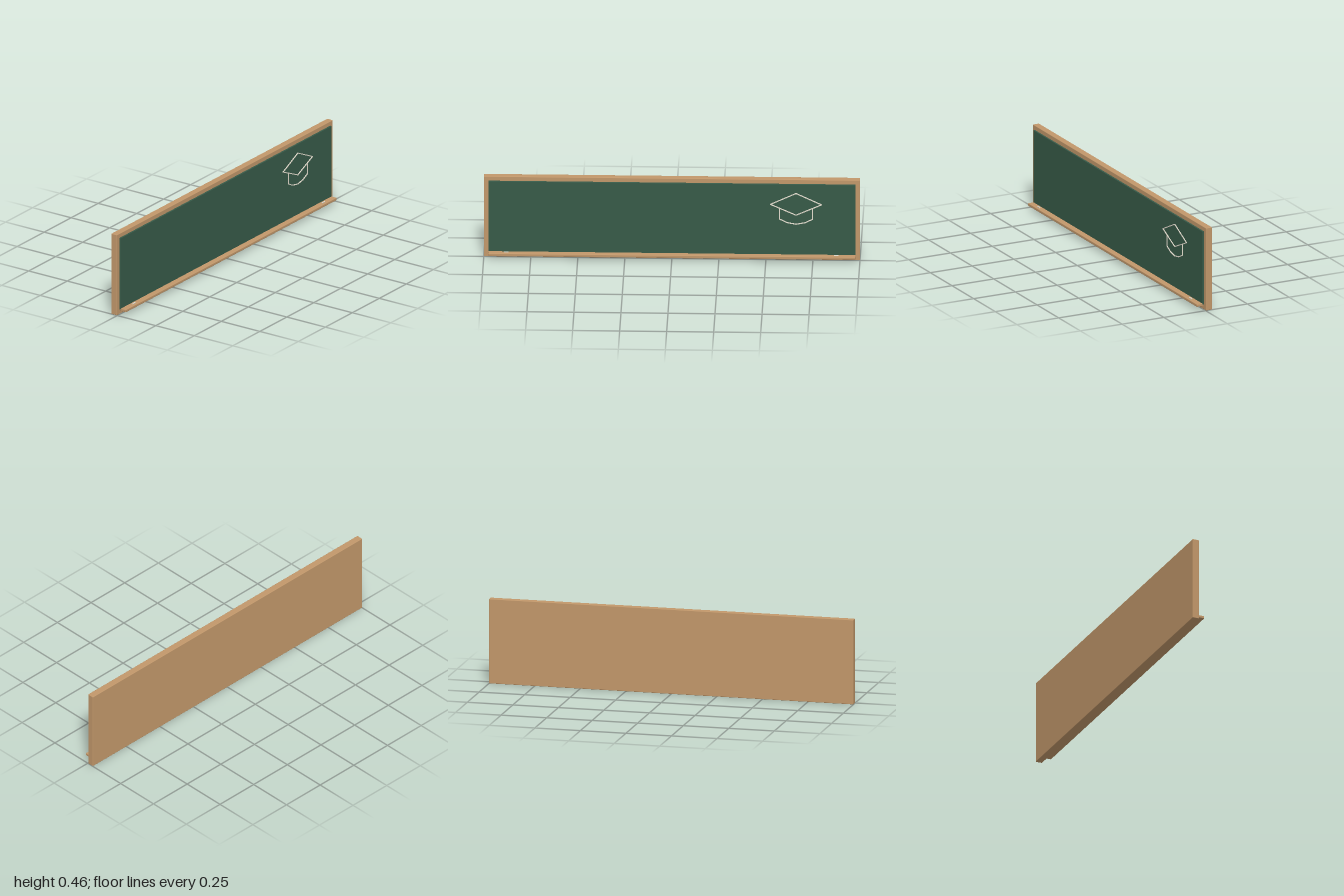
import * as THREE from 'three';
import { RoundedBoxGeometry } from 'three/addons/geometries/RoundedBoxGeometry.js';

const material = (name, color) => {
  const m = new THREE.MeshStandardMaterial({ color });
  m.name = name;
  return m;
};

export function createModel() {
  const wood = material('wood', 0xc1976a);
  const slate = material('slate green', 0x375a48);
  const chalkWhite = material('chalk white', 0xe2dccd);

  const model = new THREE.Group();
  model.name = 'chalkboard';

  const add = (name, geometry, mat, x, y, z, parent = model) => {
    const mesh = new THREE.Mesh(geometry, mat);
    mesh.name = name;
    mesh.position.set(x, y, z);
    parent.add(mesh);
    return mesh;
  };

  // Box with softened edges, given by its y and z limits
  const slab = (name, mat, width, y0, y1, z0, z1, radius) =>
    add(name, new RoundedBoxGeometry(width, y1 - y0, z1 - z0, 2, radius),
      mat, 0, (y0 + y1) / 2, (z0 + z1) / 2);

  slab('woodenBacking', wood, 2, 0, 0.461, -0.039, -0.002, 0.003);
  slab('writingSurface', slate, 1.952, 0.026, 0.437, -0.003, 0.007, 0.002);
  slab('chalkLedge', wood, 1.952, 0.019, 0.034, -0.002, 0.04, 0.003);

  // Chalk stubs lying on the ledge
  for (const x of [-0.88, 0.875]) {
    const stub = new THREE.CylinderGeometry(0.0035, 0.0035, 0.024, 12).rotateZ(Math.PI / 2);
    add('chalkStub', stub, chalkWhite, x, 0.0375, 0.0245);
  }

  // Chalk drawing of a graduation cap, centred on x = 0.66
  const drawing = new THREE.Group();
  drawing.name = 'capDrawing';
  drawing.position.set(0.66, 0, 0.008);
  model.add(drawing);

  const strokes = (name, points) => {
    for (let i = 0; i + 1 < points.length; i++) {
      const [ax, ay] = points[i];
      const [bx, by] = points[i + 1];
      const length = Math.hypot(bx - ax, by - ay) + 0.002;
      const line = add(name, new THREE.BoxGeometry(length, 0.005, 0.006),
        chalkWhite, (ax + bx) / 2, (ay + by) / 2, 0, drawing);
      line.rotation.z = Math.atan2(by - ay, bx - ax);
    }
  };

  strokes('capTopOutline', [[-0.136, 0.322], [0, 0.386], [0.136, 0.322], [0, 0.261], [-0.136, 0.322]]);
  strokes('capBandOutline', [
    [-0.088, 0.298], [-0.088, 0.238], [-0.048, 0.218], [0, 0.209],
    [0.048, 0.218], [0.088, 0.238], [0.088, 0.298],
  ]);

  return model;
}
